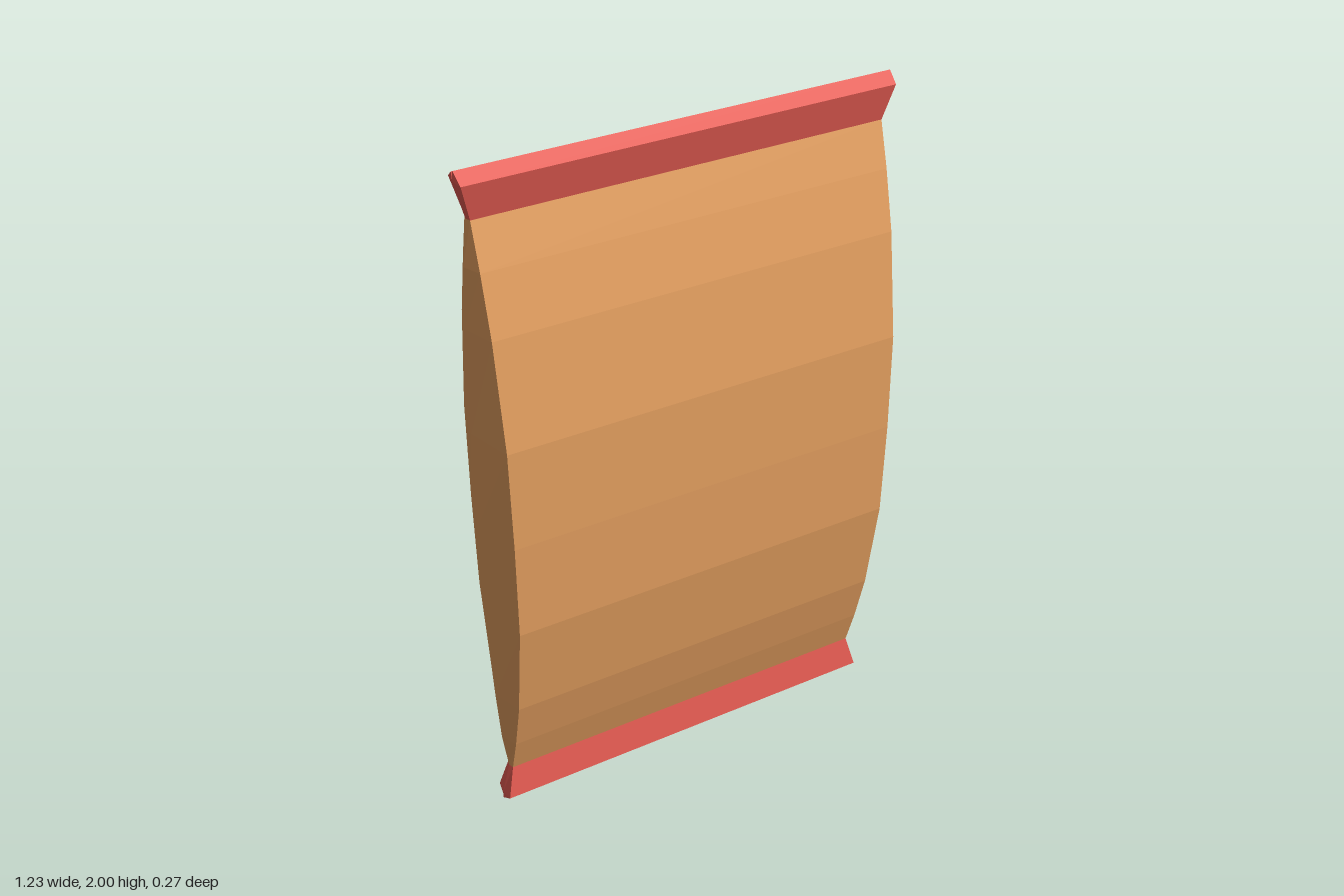
import * as THREE from 'three';

// Six-sided horizontal section: flat front and back, pointed sides.
// Runs counter-clockwise seen from above.
function section([y, halfDepth, inner, outer, shift = 0]) {
  return [
    [outer, y, shift], [inner, y, shift - halfDepth], [-inner, y, shift - halfDepth],
    [-outer, y, shift], [-inner, y, shift + halfDepth], [inner, y, shift + halfDepth],
  ];
}

// Skin a stack of sections, listed from bottom to top.
function loft(name, rows, color) {
  const rings = rows.map(section);
  const positions = [];
  for (let i = 0; i < rings.length - 1; i++) {
    for (let j = 0; j < 6; j++) {
      const k = (j + 1) % 6;
      const a = rings[i][j], b = rings[i][k], c = rings[i + 1][k], d = rings[i + 1][j];
      positions.push(...a, ...b, ...c, ...a, ...c, ...d);
    }
  }
  const geometry = new THREE.BufferGeometry();
  geometry.setAttribute('position', new THREE.Float32BufferAttribute(positions, 3));
  geometry.computeVertexNormals();
  const mesh = new THREE.Mesh(geometry, new THREE.MeshStandardMaterial({ color, flatShading: true }));
  mesh.name = name;
  return mesh;
}

// Reflect rows about mid-height, keeping them in bottom-to-top order.
const flip = (rows) => rows.map(([y, ...rest]) => [2 - y, ...rest]).reverse();

export function createModel() {
  const group = new THREE.Group();
  group.name = 'snackBag';

  // Each row: height, half depth, half width of the face, half width at the side edge, z shift
  const middle = [1, 0.137, 0.576, 0.617, 0.002];
  const upperBody = [
    [1.29, 0.131, 0.576, 0.614, 0.002],
    [1.59, 0.089, 0.576, 0.607, 0],
    [1.755, 0.05, 0.576, 0.597, -0.002],
    [1.877, 0.016, 0.576, 0.581, -0.005],
  ];
  const upperSeal = [
    [1.877, 0.016, 0.576, 0.581, -0.005],
    [1.975, 0.036, 0.6, 0.605, -0.006],
    [2, 0, 0.602, 0.606, -0.008],
  ];

  group.add(
    loft('pouch', [...flip(upperBody), middle, ...upperBody], 0xe5a060), // puffed body
    loft('topSeal', upperSeal, 0xe55b52), // flared crimped ends
    loft('bottomSeal', flip(upperSeal), 0xe55b52),
  );
  return group;
}
